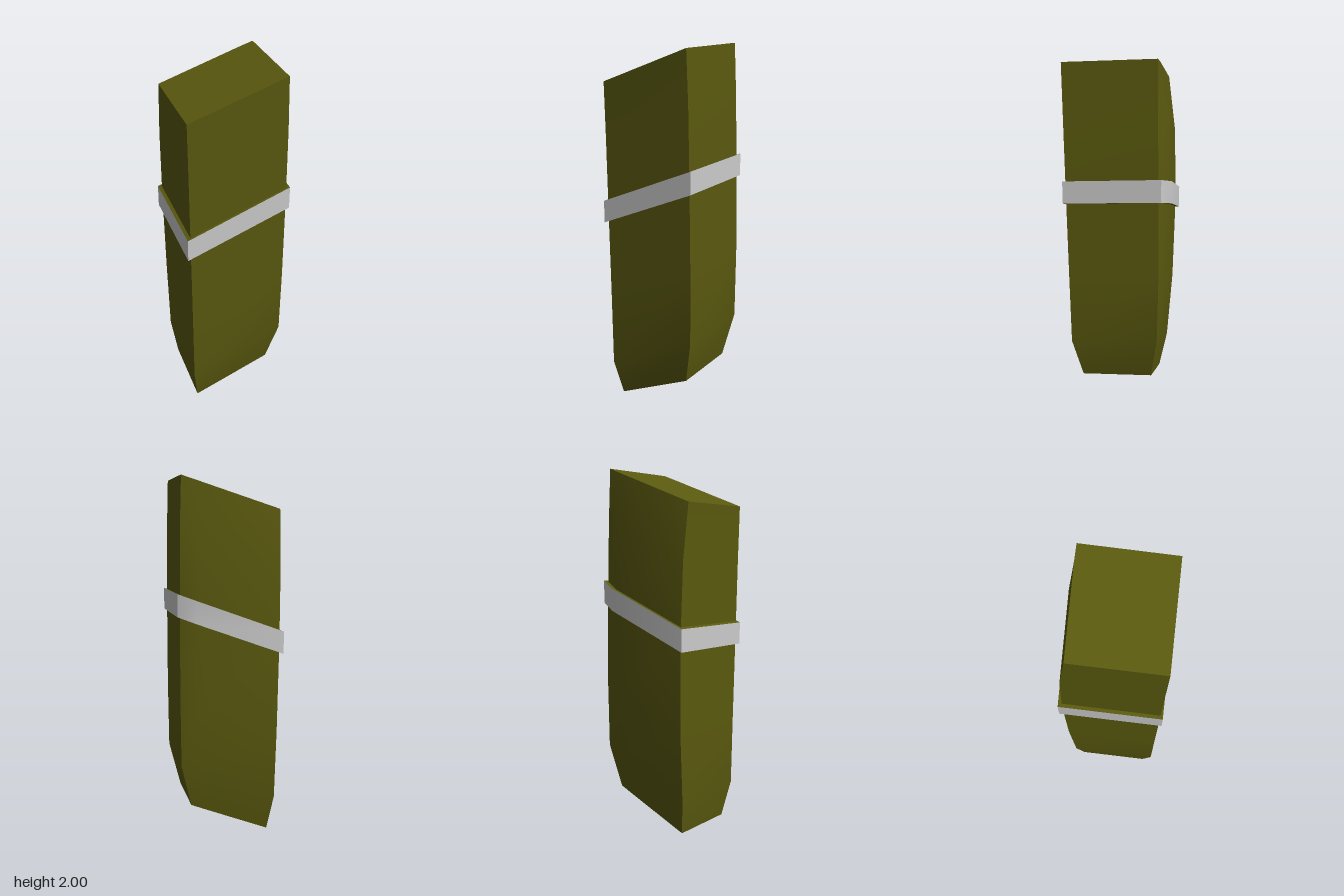
import * as THREE from 'three';
import { toCreasedNormals } from 'three/addons/utils/BufferGeometryUtils.js';

const olive = new THREE.MeshStandardMaterial({ color: 0x5a590f });
const grey = new THREE.MeshStandardMaterial({ color: 0xcccccc });

// Slanted five-sided section: front left, front right, back right, chamfer, back left
function section(xl, xr, xc, zf, zr, zb, yl, yr, dy) {
  return [[xl, zf], [xr, zf], [xr, zr], [xc, zb], [xl, zb]].map(([x, z]) =>
    new THREE.Vector3(
      x,
      yl + ((x - xl) / (xr - xl)) * (yr - yl) + (dy * (zf - z)) / (zf - zr),
      z
    ));
}

function build(points, creased = 0.6) {
  const g = new THREE.BufferGeometry().setFromPoints(points);
  return toCreasedNormals(g, creased);
}

// Side walls between successive sections
function loft(sections) {
  const out = [];
  for (let s = 0; s < sections.length - 1; s++) {
    const a = sections[s], b = sections[s + 1], n = a.length;
    for (let i = 0; i < n; i++) {
      const j = (i + 1) % n;
      out.push(a[i], a[j], b[j], a[i], b[j], b[i]);
    }
  }
  return build(out);
}

// Flat polygon, as a triangle fan
function cap(loop, down = false) {
  const p = down ? [...loop].reverse() : loop;
  const out = [];
  for (let i = 1; i < p.length - 1; i++) out.push(p[0], p[i], p[i + 1]);
  return build(out);
}

export function createModel() {
  const group = new THREE.Group();
  const add = (name, geometry, material) => {
    const mesh = new THREE.Mesh(geometry, material);
    mesh.name = name;
    group.add(mesh);
  };

  // Body, from the narrow foot to the slanted top
  const body = [
    section(-0.225, 0.21, 0.14, 0.205, -0.19, -0.192, 0.0, 0.178, 0.025),
    section(-0.256, 0.268, 0.17, 0.255, -0.226, -0.232, 0.2, 0.42, 0.03),
    section(-0.259, 0.27, 0.17, 0.26, -0.23, -0.257, 0.6, 0.81, 0.03),
    section(-0.264, 0.266, 0.17, 0.267, -0.221, -0.264, 1.1, 1.31, 0.03),
    section(-0.268, 0.26, 0.17, 0.272, -0.213, -0.25, 1.5, 1.69, 0.03),
    section(-0.272, 0.25, 0.17, 0.277, -0.207, -0.21, 1.8, 1.973, 0.027),
  ];
  add('bodySides', loft(body), olive);
  add('bodyTop', cap(body[body.length - 1]), olive);

  // Underside, with a grey strip along the front
  const [fl, fr, br, bc, bl] = body[0];
  const midRight = fr.clone().lerp(br, 0.33);
  const midLeft = fl.clone().lerp(bl, 0.33);
  add('bottomStrip', cap([fl, fr, midRight, midLeft], true), grey);
  add('bottomFace', cap([midLeft, midRight, br, bc, bl], true), olive);

  // Band around the middle
  const ring = [1.03, 1.152].map((y) =>
    section(-0.283, 0.281, 0.185, 0.281, -0.237, -0.282, y, y + 0.213, 0.033));
  add('bandSides', loft(ring), grey);
  add('bandTop', cap(ring[1]), olive);
  add('bandUnderside', cap(ring[0], true), olive);

  return group;
}
